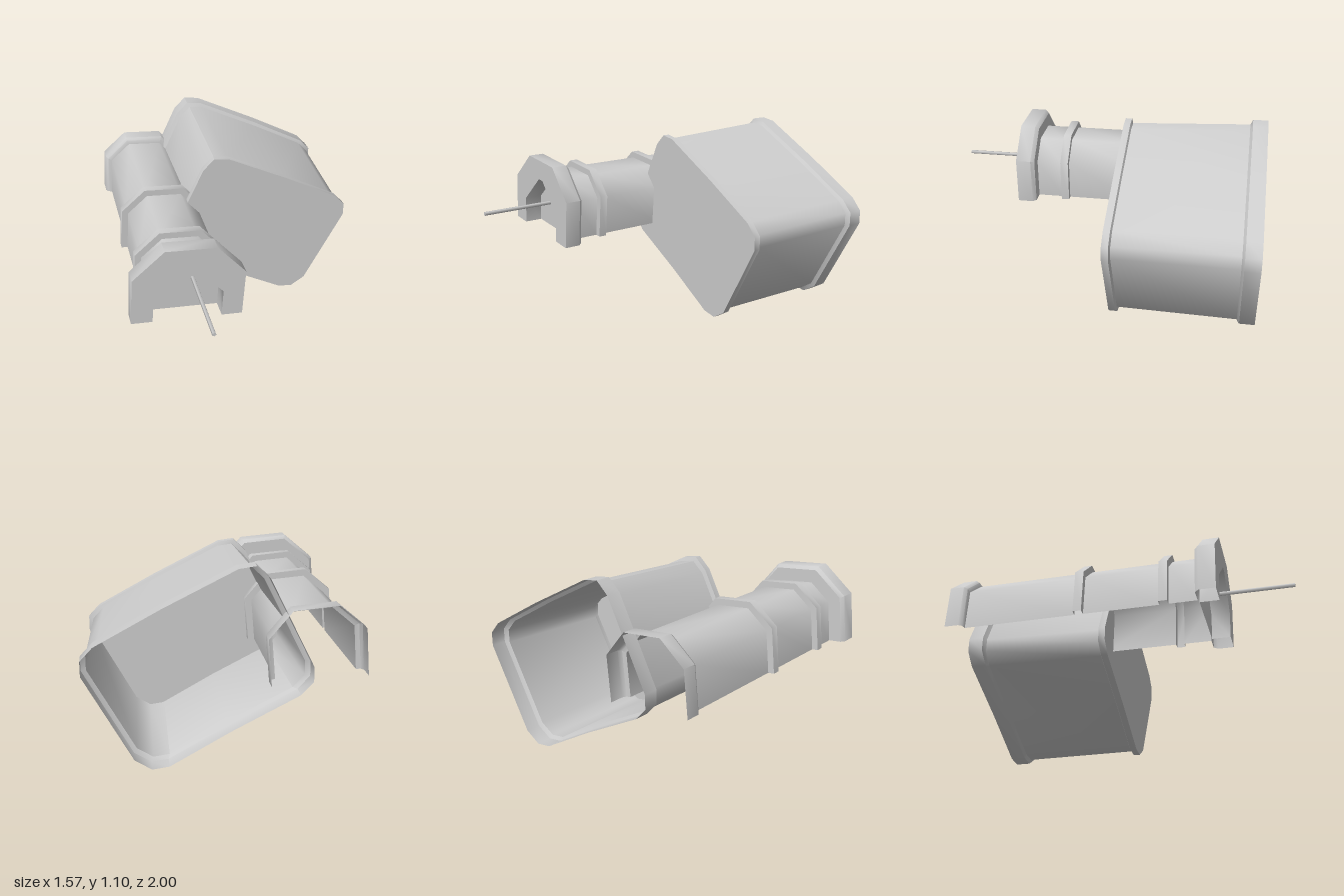
import * as THREE from 'three';
import { toCreasedNormals } from 'three/addons/utils/BufferGeometryUtils.js';

const material = new THREE.MeshStandardMaterial({ color: 0xcccccc, side: THREE.DoubleSide });

// Sheet through a list of cross-sections with equal point counts: [{ z, pts: [[x, y], ...] }]
function loft(sections, closed) {
  const n = sections[0].pts.length;
  const pos = [], index = [];
  for (const { z, pts } of sections) for (const [x, y] of pts) pos.push(x, y, z);
  for (let s = 0; s < sections.length - 1; s++) {
    for (let i = 0; i < (closed ? n : n - 1); i++) {
      const a = s * n + i, b = s * n + (i + 1) % n;
      index.push(a, a + n, b, b, a + n, b + n);
    }
  }
  const geo = new THREE.BufferGeometry();
  geo.setAttribute('position', new THREE.Float32BufferAttribute(pos, 3));
  geo.setIndex(index);
  return toCreasedNormals(geo, 0.82);
}

// Flat panel filling a cross-section at depth z
function panel(pts, z) {
  const shape = new THREE.Shape(pts.map(([x, y]) => new THREE.Vector2(x, y)));
  return new THREE.ShapeGeometry(shape).translate(0, 0, z);
}

// Open-bottomed arch with chamfered shoulders, inset by s, chamfer c
function arch(s, c = 0.175 - 0.586 * s) {
  const w = 0.322 - s, h = 0.465 - s;
  return [[w, 0], [w, h - c], [w - c, h], [c - w, h], [-w, h - c], [-w, 0]];
}

// Chamfered tub outline, scaled about its centre and shifted
const outline = [
  [-0.425, 0.45], [-0.36, 0.38], [0, 0.195], [0.32, 0.015], [0.41, 0.003], [0.5, 0.06],
  [0.755, 0.53], [0.755, 0.61], [0.69, 0.68], [0.35, 0.865], [-0.03, 1.055], [-0.12, 1.067],
  [-0.19, 1.0], [-0.425, 0.53],
];
function tubSection(scale, dx = 0, dy = 0) {
  const cx = 0.165, cy = 0.535;
  return outline.map(([x, y]) => [cx + (x - cx) * scale + dx, cy + (y - cy) * scale + dy]);
}

export function createModel() {
  const model = new THREE.Group();
  const add = (parent, name, geo) => {
    const mesh = new THREE.Mesh(geo, material);
    mesh.name = name;
    parent.add(mesh);
    return mesh;
  };

  // Arched channel, tilted slightly about its long axis
  const channel = new THREE.Group();
  channel.name = 'channel';
  channel.position.set(-0.466, 0.4725, 0);
  channel.rotation.z = -0.0856;
  model.add(channel);

  const recess = arch(0.122, 0.177);
  const outer = arch(0), tube = arch(0.1), band = arch(0.062);

  // Front collar with a recessed arch opening
  add(channel, 'frontCollar', loft([
    { z: 0.49, pts: recess }, { z: 0.6, pts: recess }, { z: 0.6, pts: outer },
    { z: 0.505, pts: outer }, { z: 0.483, pts: arch(0.02) }, { z: 0.483, pts: tube },
  ], false));
  add(channel, 'recessPanel', panel(recess, 0.49));

  // Channel wall with two raised bands and a flared rear collar
  const wall = [{ z: 0.483, pts: tube }];
  for (const [front, back] of [[0.32, 0.27], [-0.17, -0.22]]) {
    wall.push({ z: front, pts: tube }, { z: front, pts: band }, { z: back, pts: band }, { z: back, pts: tube });
  }
  wall.push({ z: -0.89, pts: tube }, { z: -0.895, pts: arch(0.075) }, { z: -0.915, pts: band }, { z: -1, pts: band });
  add(channel, 'channelWall', loft(wall, false));

  // Thin rod out of the recess
  const rod = add(model, 'rod', new THREE.CylinderGeometry(0.012, 0.012, 0.51, 5));
  rod.rotation.x = Math.PI / 2;
  rod.position.set(-0.405, 0.67, 0.745);

  // Tapered tub, closed at the front and open at the back
  const tub = new THREE.Group();
  tub.name = 'tub';
  model.add(tub);
  const frontRim = tubSection(1), frontBody = tubSection(0.955);
  const backRim = tubSection(1.03, 0.008, 0.018), backBody = tubSection(0.985, 0.008, 0.016);
  add(tub, 'tubWall', loft([
    { z: -0.12, pts: frontRim }, { z: -0.16, pts: frontRim }, { z: -0.168, pts: frontBody },
    { z: -0.88, pts: backBody }, { z: -0.895, pts: backRim }, { z: -0.985, pts: backRim },
  ], true));
  add(tub, 'tubFloor', panel(frontRim, -0.12));

  return model;
}
